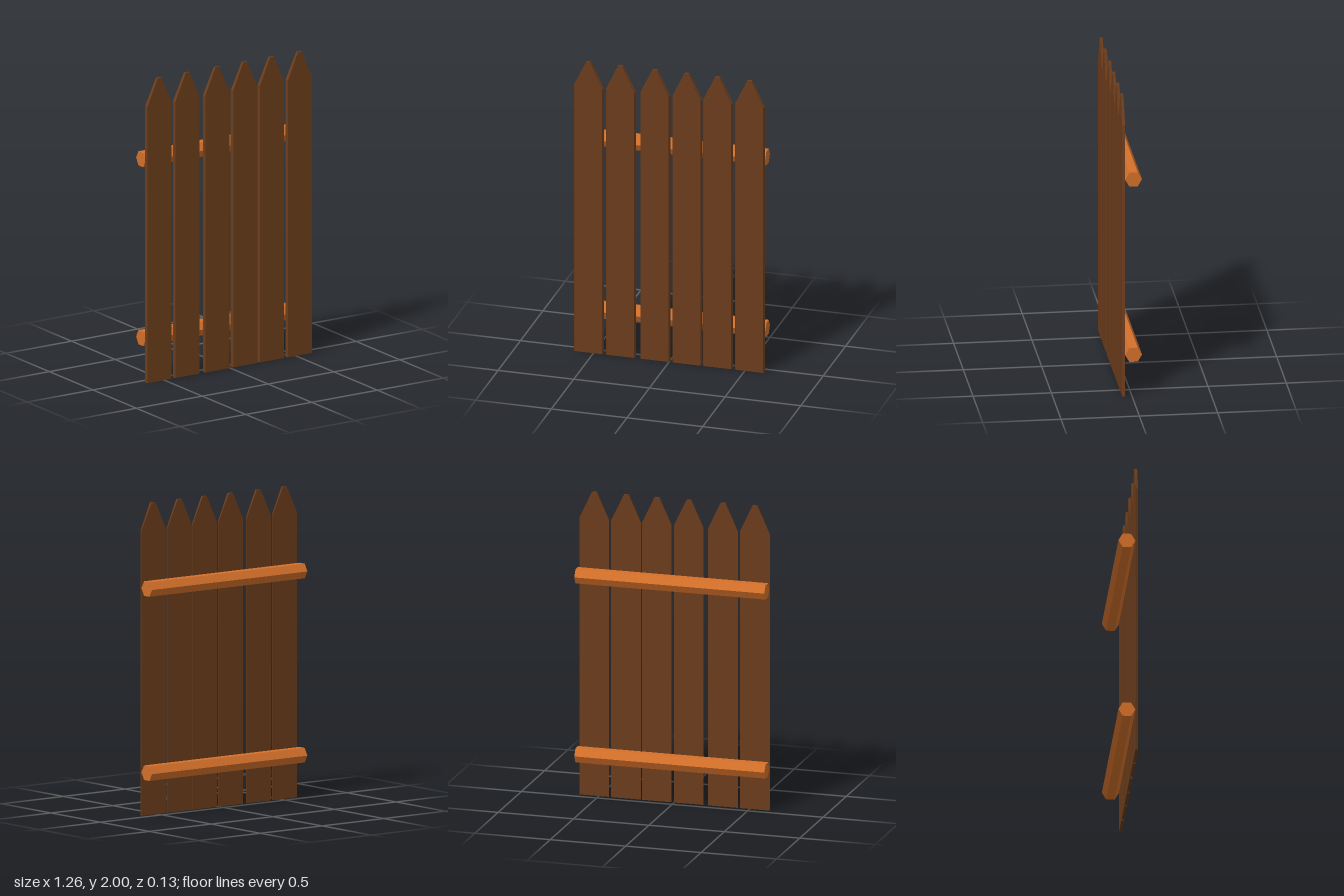
import * as THREE from 'three';

const plankMaterial = new THREE.MeshStandardMaterial({ color: 0x6b3c1b, flatShading: true });
const railMaterial = new THREE.MeshStandardMaterial({ color: 0xd4702a, flatShading: true });

const BACK = 0.045, FRONT = 0.063;

// Pointed plank whose front face is slightly narrower than its back
function plankGeometry() {
  const half = 0.099, tip = 0.016;
  const outline = new THREE.Shape([
    [-half, 0], [half, 0], [half, 1.825], [tip, 2], [-tip, 2], [-half, 1.825],
  ].map(([x, y]) => new THREE.Vector2(x, y)));
  const geometry = new THREE.ExtrudeGeometry(outline, { depth: FRONT - BACK, bevelEnabled: false });
  const p = geometry.attributes.position;
  for (let i = 0; i < p.count; i++) {
    if (p.getZ(i) > 0.001) p.setX(i, p.getX(i) * 0.92);
  }
  geometry.computeVertexNormals();
  return geometry;
}

export function createModel() {
  const fence = new THREE.Group();
  fence.name = 'picketFence';

  // Six unevenly spaced planks
  const plank = plankGeometry();
  [-0.534, -0.322, -0.096, 0.116, 0.319, 0.531].forEach((x, i) => {
    const mesh = new THREE.Mesh(plank, plankMaterial);
    mesh.name = `plank${i + 1}`;
    mesh.position.set(x, 0, BACK);
    fence.add(mesh);
  });

  // Two hexagonal rails behind the planks
  const rail = new THREE.CylinderGeometry(0.054, 0.054, 1.26, 6).rotateZ(Math.PI / 2);
  for (const [name, y] of [['lowerRail', 0.28], ['upperRail', 1.46]]) {
    const mesh = new THREE.Mesh(rail, railMaterial);
    mesh.name = name;
    mesh.position.set(0, y, -0.009);
    fence.add(mesh);
  }
  return fence;
}
